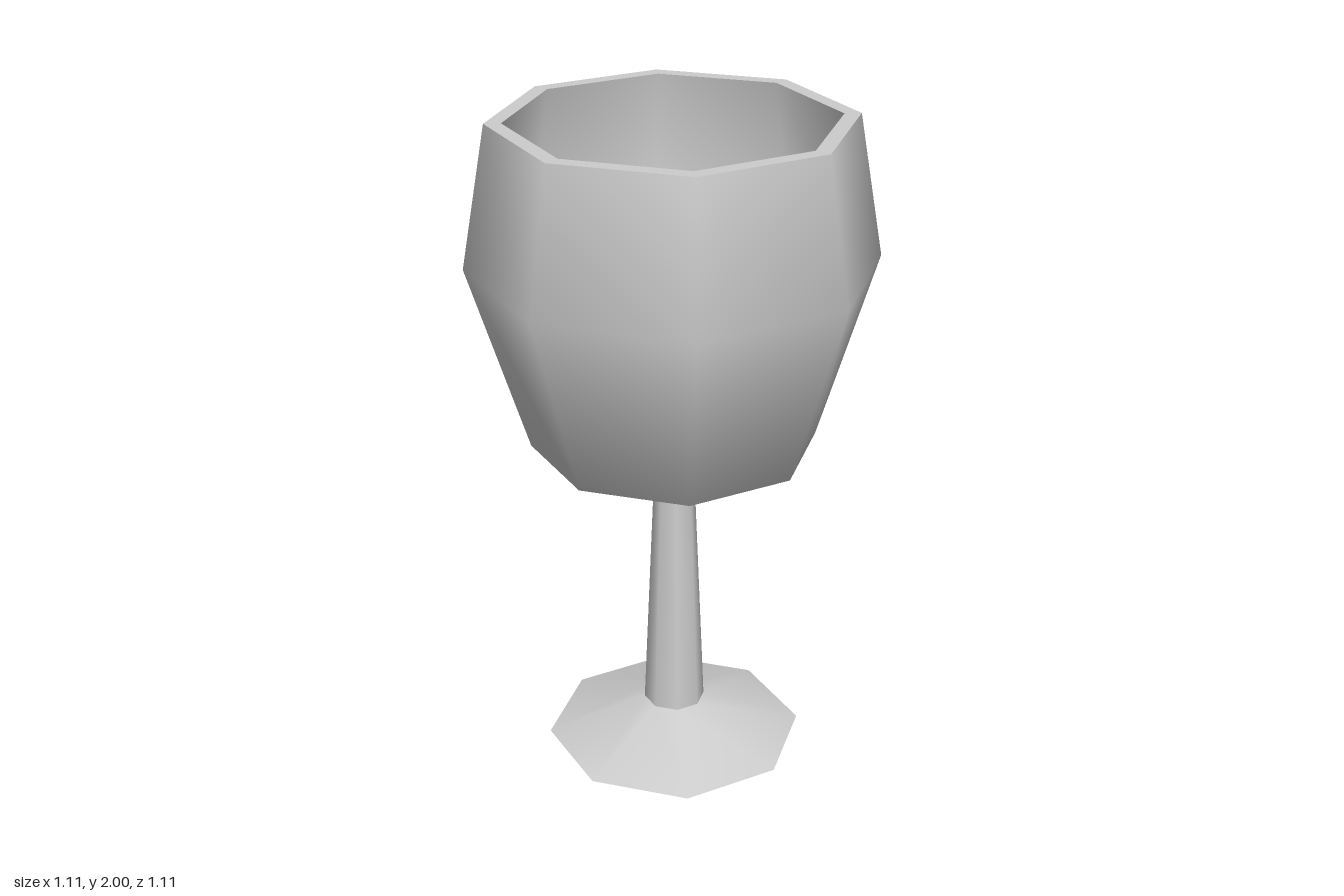
import * as THREE from 'three';

const SIDES = 8;
const TO_CORNER = 1 / Math.cos(Math.PI / SIDES);

export function createModel() {
  const goblet = new THREE.Group();
  goblet.name = 'goblet';
  const grey = new THREE.MeshStandardMaterial({ color: 0xcccccc });
  grey.name = 'grey';

  // Octagonal lathe with flats facing the axes; profile is [flat distance, height]
  function turned(name, profile) {
    const points = profile.map(([r, y]) => new THREE.Vector2(r * TO_CORNER, y));
    const geometry = new THREE.LatheGeometry(points, SIDES, Math.PI / SIDES);
    const mesh = new THREE.Mesh(geometry, grey);
    mesh.name = name;
    goblet.add(mesh);
  }

  // Foot: flat underside and low sloping top
  turned('footUnderside', [[0, 0], [0.368, 0]]);
  turned('foot', [[0.368, 0], [0.087, 0.115]]);

  // Tapered stem
  turned('stem', [[0.087, 0.115], [0.058, 0.86]]);

  // Bowl: smooth outside, crisp rim, hollow inside
  turned('bowlOutside', [[0.058, 0.86], [0.393, 1.02], [0.553, 1.58], [0.483, 2]]);
  turned('bowlRim', [[0.483, 2], [0.438, 2]]);
  turned('bowlInside', [[0.438, 2], [0.507, 1.58], [0.357, 1.055], [0, 0.9]]);

  return goblet;
}
